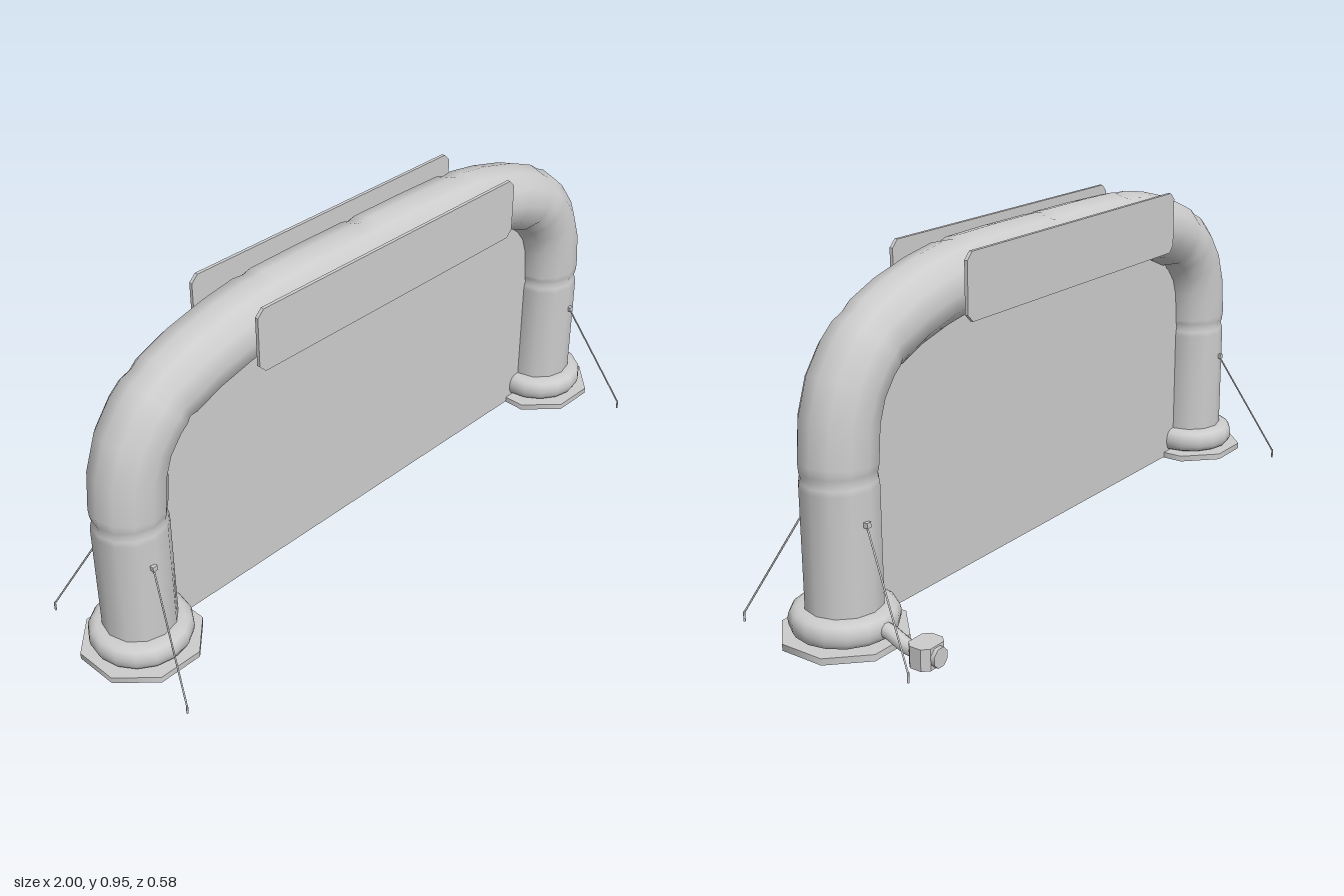
import * as THREE from 'three';

const ZC = 0.016;   // depth of the arch centre line
const LEG_X = 0.843;
const R = 0.101;

// Half of the arch centre line: x, y, tube radius (narrow at the seams)
const HALF = [
  [LEG_X, 0.02, R], [LEG_X, 0.415, R], [LEG_X, 0.43, 0.099], [LEG_X, 0.443, 0.095], [LEG_X, 0.457, 0.099],
  [LEG_X, 0.475, R], [0.834, 0.575, R], [0.808, 0.65, R], [0.765, 0.708, R], [0.737, 0.732, R],
  [0.715, 0.747, 0.095], [0.692, 0.759, R], [0.61, 0.793, R], [0.5, 0.822, R], [0.405, 0.838, R],
  [0.38, 0.841, 0.095], [0.355, 0.842, R], [0.2, 0.845, R], [0.025, 0.845, R], [0, 0.845, 0.095],
];

// Sweeps a round section along the path in the xy plane
function archTube(path, sides) {
  const pos = [], index = [];
  path.forEach(([x, y, r], i) => {
    const p = path[Math.max(i - 1, 0)], q = path[Math.min(i + 1, path.length - 1)];
    const t = new THREE.Vector2(q[0] - p[0], q[1] - p[1]).normalize();
    for (let j = 0; j < sides; j++) {
      const a = (j / sides) * Math.PI * 2, c = Math.cos(a) * r;
      pos.push(x + t.y * c, y - t.x * c, ZC + Math.sin(a) * r);
      if (i < path.length - 1) {
        const k = (j + 1) % sides, m = i * sides, n = m + sides;
        index.push(m + j, n + j, m + k, m + k, n + j, n + k);
      }
    }
  });
  const g = new THREE.BufferGeometry();
  g.setAttribute('position', new THREE.Float32BufferAttribute(pos, 3));
  g.setIndex(index);
  g.computeVertexNormals();
  return g;
}

// Rectangle with cut corners
function cutRect(w, h, c) {
  const x = w / 2, y = h / 2;
  return new THREE.Shape([
    [-x + c, -y], [x - c, -y], [x, -y + c], [x, y - c], [x - c, y], [-x + c, y], [-x, y - c], [-x, -y + c],
  ].map(([a, b]) => new THREE.Vector2(a, b)));
}

export function createModel() {
  const model = new THREE.Group();
  model.name = 'inflatableArch';
  const grey = new THREE.MeshStandardMaterial({ color: 0xcccccc });
  grey.name = 'light grey';
  const greySheet = new THREE.MeshStandardMaterial({ color: 0xcccccc, side: THREE.DoubleSide });
  greySheet.name = 'light grey sheet';

  const add = (name, geometry, x = 0, y = 0, z = 0, parent = model, material = grey) => {
    const mesh = new THREE.Mesh(geometry, material);
    mesh.name = name;
    mesh.position.set(x, y, z);
    parent.add(mesh);
    return mesh;
  };
  // Straight rod between two points
  const rod = (name, a, b, r, sides, parent = model) => {
    const d = b.clone().sub(a);
    const mesh = add(name, new THREE.CylinderGeometry(r, r, d.length(), sides), 0, 0, 0, parent);
    mesh.position.copy(a).addScaledVector(d, 0.5);
    mesh.quaternion.setFromUnitVectors(new THREE.Vector3(0, 1, 0), d.normalize());
    return mesh;
  };

  // Inflated arch
  const mirrored = HALF.slice(0, -1).reverse().map(([x, y, r]) => [-x, y, r]);
  const path = [...HALF, ...mirrored];
  add('archTube', archTube(path, 12));

  // Sheet filling the opening
  const opening = new THREE.Shape(path.map(([x, y], i) =>
    new THREE.Vector2(x, i === 0 || i === path.length - 1 ? 0.014 : y)));
  add('openingSheet', new THREE.ShapeGeometry(opening), 0, 0, ZC, model, greySheet);

  // Feet: octagonal plate and inflated collar
  const collar = [[0.095, 0.03], [0.118, 0.03], [0.132, 0.037], [0.139, 0.05], [0.141, 0.065],
    [0.139, 0.08], [0.132, 0.092], [0.118, 0.1], [0.095, 0.1]].map(([x, y]) => new THREE.Vector2(x, y));
  for (const s of [1, -1]) {
    const foot = new THREE.Group();
    foot.name = s > 0 ? 'leftFoot' : 'rightFoot';
    model.add(foot);
    const plateR = 0.156 / Math.cos(Math.PI / 8);
    add('basePlate', new THREE.CylinderGeometry(plateR, plateR, 0.018, 8), s * LEG_X, 0.021, ZC, foot)
      .rotation.y = Math.PI / 8;
    add('collar', new THREE.LatheGeometry(collar, 16), s * LEG_X, 0, ZC, foot);

    // Guy ropes with anchor tabs and stakes
    for (const f of [1, -1]) {
      const tabZ = ZC + f * 0.1, stakeZ = ZC + f * 0.274;
      add('ropeTab', new THREE.BoxGeometry(0.014, 0.014, 0.014), s * 0.858, 0.336, tabZ, foot);
      rod('guyRope', new THREE.Vector3(s * 0.859, 0.333, tabZ),
        new THREE.Vector3(s * 0.925, 0.024, stakeZ), 0.0025, 6, foot);
      add('stake', new THREE.CylinderGeometry(0.003, 0.003, 0.027, 6), s * 0.925, 0.0135, stakeZ, foot);
    }
  }

  // Banner boards on short posts, front and back
  const board = new THREE.ExtrudeGeometry(cutRect(0.988, 0.18, 0.02), { depth: 0.01, bevelEnabled: false });
  for (const f of [1, -1]) {
    add(f > 0 ? 'frontBanner' : 'backBanner', board, -0.003, 0.845, ZC + f * 0.121 - 0.005);
    for (const x of [-0.43, 0, 0.43]) {
      rod('bannerPost', new THREE.Vector3(x, 0.845, ZC + f * 0.07),
        new THREE.Vector3(x, 0.845, ZC + f * 0.119), 0.01, 8);
    }
  }

  // Air blower and its hose behind the left leg
  const blower = new THREE.Group();
  blower.name = 'blower';
  model.add(blower);
  const hose = new THREE.CatmullRomCurve3([[0.066, -0.1], [0.06, -0.135], [0.045, -0.17], [0.037, -0.195], [0.037, -0.225]]
    .map(([y, z]) => new THREE.Vector3(LEG_X, y, z)));
  add('airHose', new THREE.TubeGeometry(hose, 10, 0.02, 10), 0, 0, 0, blower);
  const housing = new THREE.ExtrudeGeometry(cutRect(0.084, 0.068, 0.017), { depth: 0.058, bevelEnabled: false });
  add('blowerHousing', housing, LEG_X, 0.012, -0.246, blower).rotation.x = -Math.PI / 2;
  add('blowerIntake', new THREE.CylinderGeometry(0.027, 0.027, 0.02, 8), LEG_X, 0.04, -0.281, blower)
    .rotation.set(Math.PI / 2, Math.PI / 8, 0);

  return model;
}
